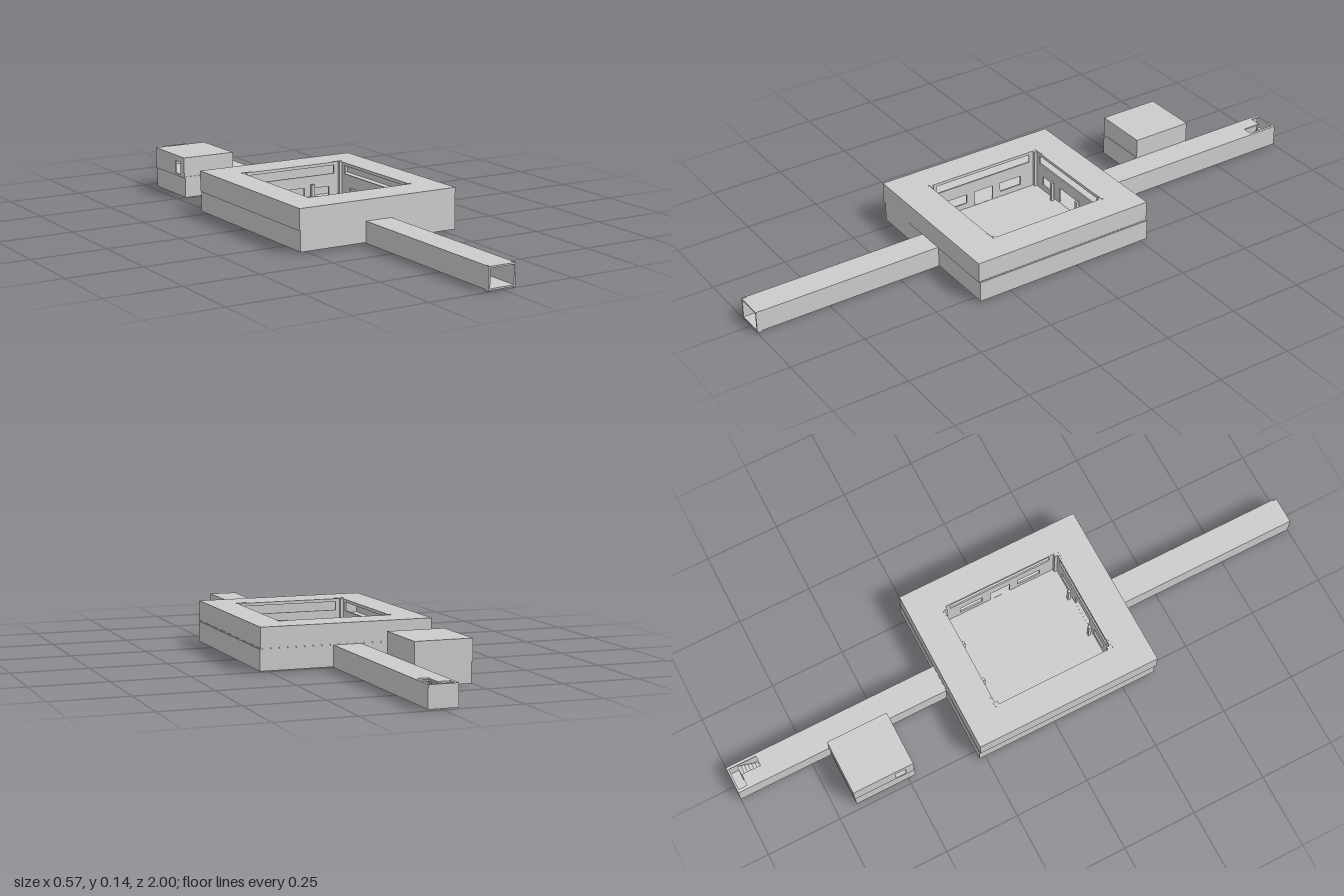
import * as THREE from 'three';

const mat = new THREE.MeshStandardMaterial({ color: 0xcccccc, flatShading: true });
const T = 0.005; // wall thickness

function add(parent, name, geo) {
  const m = new THREE.Mesh(geo, mat);
  m.name = name;
  parent.add(m);
  return m;
}

// Box given by its limits on each axis
function box(parent, name, x0, x1, y0, y1, z0, z1) {
  const m = add(parent, name, new THREE.BoxGeometry(x1 - x0, y1 - y0, z1 - z0));
  m.position.set((x0 + x1) / 2, (y0 + y1) / 2, (z0 + z1) / 2);
  return m;
}

function rectPath(P, [a0, a1, b0, b1]) {
  const p = new P();
  p.moveTo(a0, b0);
  p.lineTo(a1, b0);
  p.lineTo(a1, b1);
  p.lineTo(a0, b1);
  p.closePath();
  return p;
}

// Flat sheet with rectangular holes, extruded by depth
function sheet(rect, holes, depth) {
  const s = rectPath(THREE.Shape, rect);
  holes.forEach(h => s.holes.push(rectPath(THREE.Path, h)));
  return new THREE.ExtrudeGeometry(s, { depth, bevelEnabled: false });
}

// Wall across x (at depth z), wall along z (at x), horizontal slab (top at y)
function wallX(parent, name, z, rect, holes = []) {
  add(parent, name, sheet(rect, holes, T)).position.z = z;
}
function wallZ(parent, name, x, [z0, z1, y0, y1], holes = []) {
  const flip = ([a, b, c, d]) => [-b, -a, c, d];
  const m = add(parent, name, sheet(flip([z0, z1, y0, y1]), holes.map(flip), T));
  m.rotation.y = Math.PI / 2;
  m.position.x = x;
}
function slab(parent, name, y, rect, holes = []) {
  const m = add(parent, name, sheet(rect, holes, T));
  m.rotation.x = Math.PI / 2;
  m.position.y = y;
}

function group(parent, name) {
  const g = new THREE.Group();
  g.name = name;
  parent.add(g);
  return g;
}

// Four walls of one storey; doors are keyed by side
function storey(parent, name, [x0, x1, z0, z1], y0, y1, doors = {}) {
  const g = group(parent, name);
  wallX(g, 'frontWall', z1 - T, [x0, x1, y0, y1], doors.front);
  wallX(g, 'backWall', z0, [x0, x1, y0, y1], doors.back);
  wallZ(g, 'leftWall', x1 - T, [z0 + T, z1 - T, y0, y1], doors.left);
  wallZ(g, 'rightWall', x0, [z0 + T, z1 - T, y0, y1], doors.right);
}

// Main hall: two storeys round an open courtyard
function mainHall(root) {
  const g = group(root, 'mainHall');
  const door = [[-0.042, 0.04, 0.014, 0.066]];
  const court = [-0.185, 0.185, -0.16, 0.25];
  const [cx0, cx1, cz0, cz1] = court;
  storey(g, 'lowerStorey', [-0.28, 0.285, -0.27, 0.362], 0.006, 0.074, { front: door, back: door });
  storey(g, 'upperStorey', [-0.285, 0.282, -0.268, 0.365], 0.076, 0.14);
  slab(g, 'groundFloor', 0.011, [-0.28, 0.285, -0.27, 0.362]);
  slab(g, 'galleryFloor', 0.077, [-0.283, 0.283, -0.269, 0.364], [court]);
  slab(g, 'roof', 0.142, [-0.285, 0.282, -0.268, 0.365], [court]);

  // Courtyard walls: long upper windows and doorways below
  const yard = group(g, 'courtyardWalls');
  const openX = [[-0.16, 0.16, 0.104, 0.132], [-0.045, 0.045, 0.012, 0.066],
    [-0.14, -0.08, 0.03, 0.062], [0.08, 0.14, 0.03, 0.062]];
  const openZ = [[cz0 + 0.025, cz1 - 0.025, 0.104, 0.132], [-0.1, -0.02, 0.03, 0.062],
    [0.01, 0.08, 0.012, 0.062], [0.11, 0.19, 0.03, 0.062]];
  wallX(yard, 'frontCourtWall', cz1, [cx0, cx1, 0.01, 0.138], openX);
  wallX(yard, 'backCourtWall', cz0 - T, [cx0, cx1, 0.01, 0.138], openX);
  wallZ(yard, 'leftCourtWall', cx1, [cz0, cz1, 0.01, 0.138], openZ);
  wallZ(yard, 'rightCourtWall', cx0 - T, [cz0, cz1, 0.01, 0.138], openZ);

  // Corner posts, each with a low cap, and intermediate columns
  for (const x of [-1, 1]) {
    for (const [z, s] of [[cz0, 1], [cz1, -1]]) {
      const px = x * 0.18, pz = z + s * 0.005;
      box(g, 'cornerPost', px - 0.005, px + 0.005, 0.01, 0.142, pz - 0.005, pz + 0.005);
      box(g, 'cornerCap', x * 0.172 - 0.017, x * 0.172 + 0.017, 0.1415, 0.1435, z - s * 0.006, z);
      const mz = z + s * 0.012;
      box(g, 'column', x * 0.07 - 0.005, x * 0.07 + 0.005, 0.01, 0.078, mz - 0.005, mz + 0.005);
    }
  }
}

// Corridor: hollow box tube between z0 and z1
function corridor(root, name, z0, z1, roofHoles, rightDoor) {
  const g = group(root, name);
  const x0 = -0.048, x1 = 0.045;
  slab(g, 'floor', 0.009, [x0, x1, z0, z1]);
  slab(g, 'roof', 0.074, [x0, x1, z0, z1], roofHoles);
  wallZ(g, 'leftWall', x1 - T, [z0, z1, 0.004, 0.0735]);
  wallZ(g, 'rightWall', x0, [z0, z1, 0.004, 0.0735], rightDoor);
  return g;
}

export function createModel() {
  const root = new THREE.Group();
  root.name = 'corridorComplex';
  mainHall(root);

  // Front corridor, open at its end, with small feet at the mouth
  const front = corridor(root, 'frontCorridor', 0.362, 1, []);
  for (const x of [-0.046, 0.043]) {
    box(front, 'doorFoot', x - 0.002, x + 0.002, 0, 0.075, 0.985, 0.997);
  }

  // Back corridor with a stair opening near its closed end
  const back = corridor(root, 'backCorridor', -1, -0.27, [[0.002, 0.036, -0.965, -0.9]],
    [[-0.62, -0.54, 0.014, 0.062]]);
  const roof = back.getObjectByName('roof');
  const s = rectPath(THREE.Shape, [-0.048, 0.045, -1, -0.27]);
  const hole = new THREE.Path();
  hole.setFromPoints([[-0.038, -0.994], [0.036, -0.994], [0.036, -0.9], [0.002, -0.9],
    [0.002, -0.965], [-0.038, -0.965]].map(p => new THREE.Vector2(...p)));
  s.holes.push(hole);
  roof.geometry = new THREE.ExtrudeGeometry(s, { depth: T, bevelEnabled: false });
  wallX(back, 'endWall', -1, [-0.048, 0.045, 0.004, 0.074]);
  for (let i = 0; i < 6; i++) {
    box(back, 'stairStep', 0.004, 0.035, 0.008, 0.016 + i * 0.009, -0.911 - i * 0.011, -0.9 - i * 0.011);
  }

  // Shelf rack inside the back corridor
  const cells = [];
  for (let r = 0; r < 4; r++) {
    for (let c = 0; c < 4; c++) {
      const x = -0.03 + c * 0.0075, y = 0.012 + r * 0.011;
      cells.push([x, x + 0.006, y, y + 0.009]);
    }
  }
  wallX(back, 'shelfRack', -0.87, [-0.032, 0.0, 0.009, 0.057], cells);

  // Two-storey side room next to the back corridor
  const side = group(root, 'sideRoom');
  storey(side, 'lowerStorey', [-0.232, -0.048, -0.683, -0.475], 0.006, 0.074,
    { left: [[-0.62, -0.54, 0.014, 0.062]] });
  storey(side, 'upperStorey', [-0.235, -0.048, -0.685, -0.477], 0.076, 0.14,
    { right: [[-0.54, -0.505, 0.08, 0.122]] });
  slab(side, 'floor', 0.011, [-0.232, -0.048, -0.683, -0.475]);
  slab(side, 'upperFloor', 0.077, [-0.235, -0.048, -0.685, -0.475]);
  slab(side, 'roof', 0.142, [-0.235, -0.048, -0.685, -0.477]);
  return root;
}
